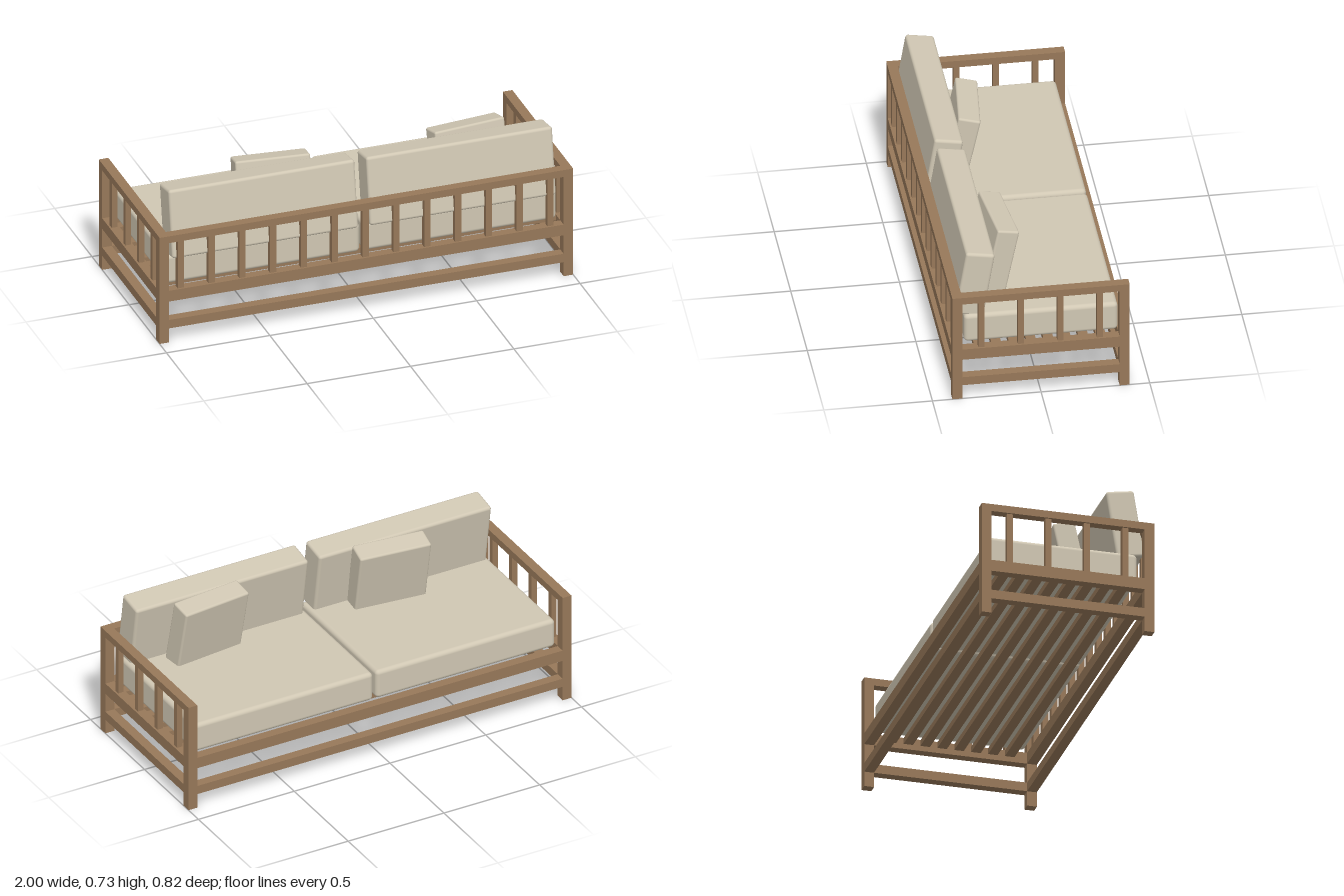
import * as THREE from 'three';
import { RoundedBoxGeometry } from 'three/addons/geometries/RoundedBoxGeometry.js';

export function createModel() {
  const model = new THREE.Group();
  model.name = 'slattedSofa';
  const wood = new THREE.MeshStandardMaterial({ color: 0x977859 });
  wood.name = 'wood';
  const fabric = new THREE.MeshStandardMaterial({ color: 0xd0c7b3 });
  fabric.name = 'cushionFabric';

  const X = 1, Z = 0.408, T = 0.046; // half length, half depth, timber thickness
  const legX = X - T / 2, legZ = Z - T / 2;
  const innerX = 2 * (X - T), innerZ = 2 * (Z - T);

  const beam = (name, w, y0, y1, d, x, z) => {
    const mesh = new THREE.Mesh(new THREE.BoxGeometry(w, y1 - y0, d), wood);
    mesh.name = name;
    mesh.position.set(x, (y0 + y1) / 2, z);
    model.add(mesh);
  };

  const cushion = (name, w, h, d, radius, x, y, z, tilt = 0, yaw = 0) => {
    const mesh = new THREE.Mesh(new RoundedBoxGeometry(w, h, d, 4, radius), fabric);
    mesh.name = name;
    mesh.position.set(x, y, z);
    mesh.rotation.set(tilt, yaw, 0, 'YXZ');
    model.add(mesh);
  };

  // Legs and end frames
  for (const s of [-1, 1]) {
    for (const t of [-1, 1]) beam('leg', T, 0, 0.51, T, s * legX, t * legZ);
    beam('armRail', T, 0.51, 0.545, 2 * Z, s * legX, 0);
    beam('sideSeatRail', T, 0.21, 0.265, innerZ, s * legX, 0);
    beam('sideStretcher', T, 0.072, 0.115, innerZ, s * legX, 0);
    for (let i = 0; i < 4; i++) {
      beam('armSlat', 0.028, 0.265, 0.51, 0.028, s * legX, -0.273 + i * 0.182);
    }
  }

  // Long rails, with the backrest on the +z side
  for (const t of [-1, 1]) {
    beam('longSeatRail', innerX, 0.21, 0.265, T, 0, t * legZ);
    beam('longStretcher', innerX, 0.072, 0.115, T, 0, t * legZ);
  }
  beam('backTopRail', innerX, 0.51, 0.545, T, 0, legZ);
  for (let i = -6; i <= 6; i++) {
    beam('backSlat', 0.03, 0.265, 0.51, 0.028, i * 0.149, legZ);
  }

  // Slats under the seat
  for (let i = 0; i < 8; i++) {
    beam('seatSlat', innerX, 0.235, 0.263, 0.045, 0, -0.28 + i * 0.08);
  }

  // Cushions, one set per seat
  for (const s of [-1, 1]) {
    cushion('seatCushion', 0.935, 0.145, 0.707, 0.02, s * 0.475, 0.337, -0.009);
    cushion('backCushion', 0.9, 0.329, 0.134, 0.014, s * 0.478, 0.5625, 0.2925, -0.163);
  }
  cushion('throwPillow', 0.352, 0.335, 0.104, 0.01, -0.368, 0.557, 0.163, -0.21, -0.107);
  cushion('throwPillow', 0.352, 0.335, 0.104, 0.01, 0.581, 0.557, 0.163, -0.21, 0.107);

  return model;
}
